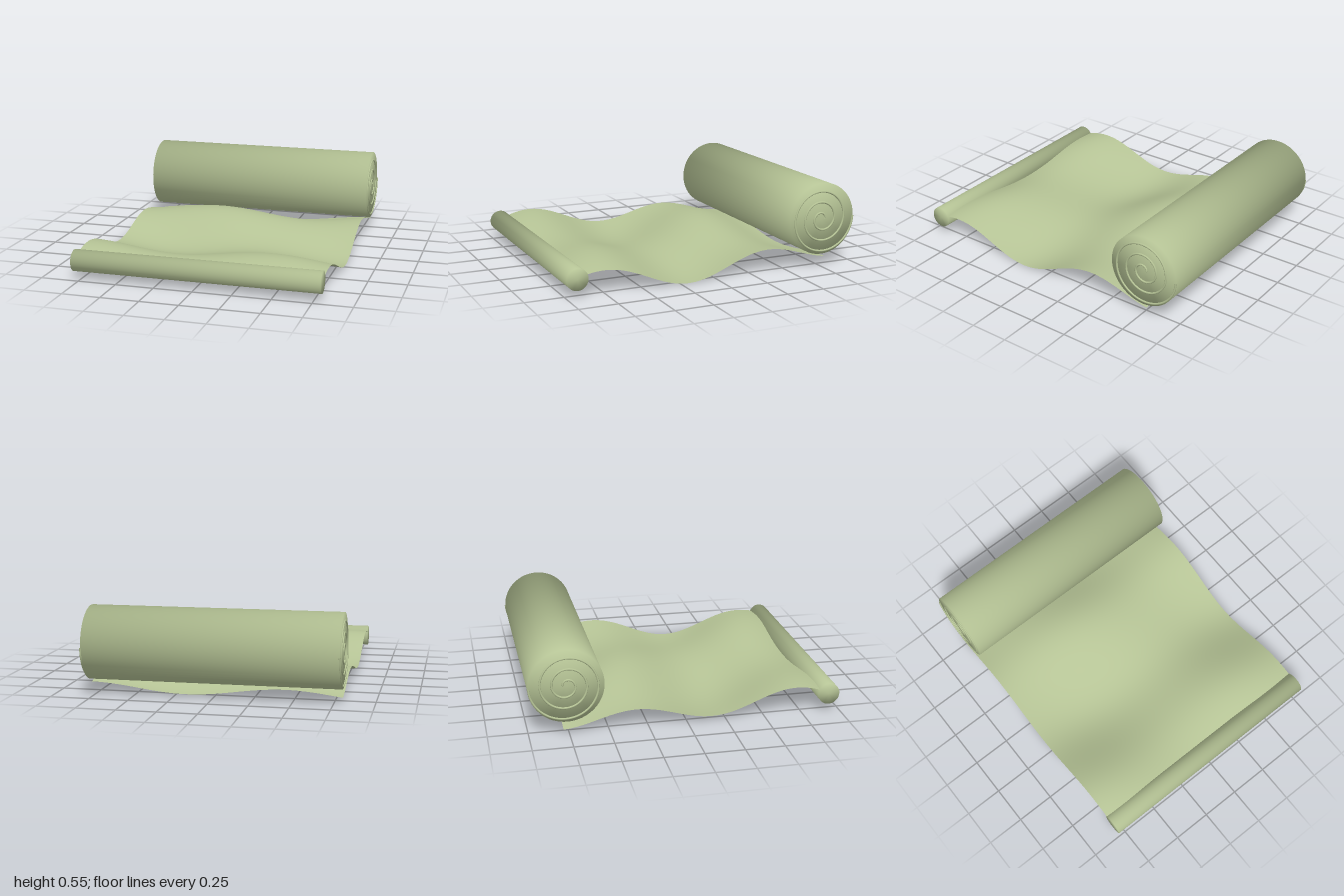
import * as THREE from 'three';

const WIDTH = 1.6;

export function createModel() {
  const group = new THREE.Group();
  const paper = new THREE.MeshStandardMaterial({ color: 0xb6c496, side: THREE.DoubleSide });
  paper.name = 'sage paper';

  const add = (name, geometry) => {
    const mesh = new THREE.Mesh(geometry, paper);
    mesh.name = name;
    group.add(mesh);
    return mesh;
  };

  // Rolled ends: cylinders along x, shaded softly across the rims
  const addRoll = (name, radius, y, z) => {
    const geometry = new THREE.CylinderGeometry(radius, radius, WIDTH, 64);
    geometry.rotateZ(Math.PI / 2);
    const { position, normal } = geometry.attributes;
    const n = new THREE.Vector3();
    for (let i = 0; i < position.count; i++) {
      n.set(Math.sign(position.getX(i)), position.getY(i) / radius, position.getZ(i) / radius);
      n.normalize();
      normal.setXYZ(i, n.x, n.y, n.z);
    }
    add(name, geometry).position.set(0, y, z);
  };
  const rollY = 0.318, rollZ = -0.76;
  addRoll('largeRoll', 0.236, rollY, rollZ);
  addRoll('smallRoll', 0.07, 0.118, 0.93);

  // Unrolled sheet: long waves along z with a diagonal ripple
  const front = 0.93, back = -0.785;
  const sheet = new THREE.PlaneGeometry(WIDTH, front - back, 48, 80);
  sheet.rotateX(-Math.PI / 2);
  sheet.translate(0, 0, (front + back) / 2);
  const p = sheet.attributes.position;
  for (let i = 0; i < p.count; i++) {
    const x = p.getX(i), z = p.getZ(i);
    const wave = 0.06 * Math.cos(6 * (z - 0.72));
    const ripple = 0.028 * Math.cos(5 * x - 3.15 * z - 0.25);
    p.setY(i, 0.0915 + wave + ripple);
  }
  sheet.computeVertexNormals();
  add('sheet', sheet);

  // Raised spiral edge on each end of the large roll
  const points = [];
  for (let i = 0; i <= 72; i++) {
    const t = i / 72, a = t * Math.PI * 6, r = 0.02 + 0.214 * t;
    points.push(new THREE.Vector3(0, r * Math.sin(a), -r * Math.cos(a)));
  }
  const spiral = new THREE.TubeGeometry(new THREE.CatmullRomCurve3(points), 180, 0.007, 8);
  for (const side of [1, -1]) {
    const name = side > 0 ? 'leftSpiral' : 'rightSpiral';
    add(name, spiral).position.set(side * WIDTH / 2, rollY, rollZ);
  }

  return group;
}
